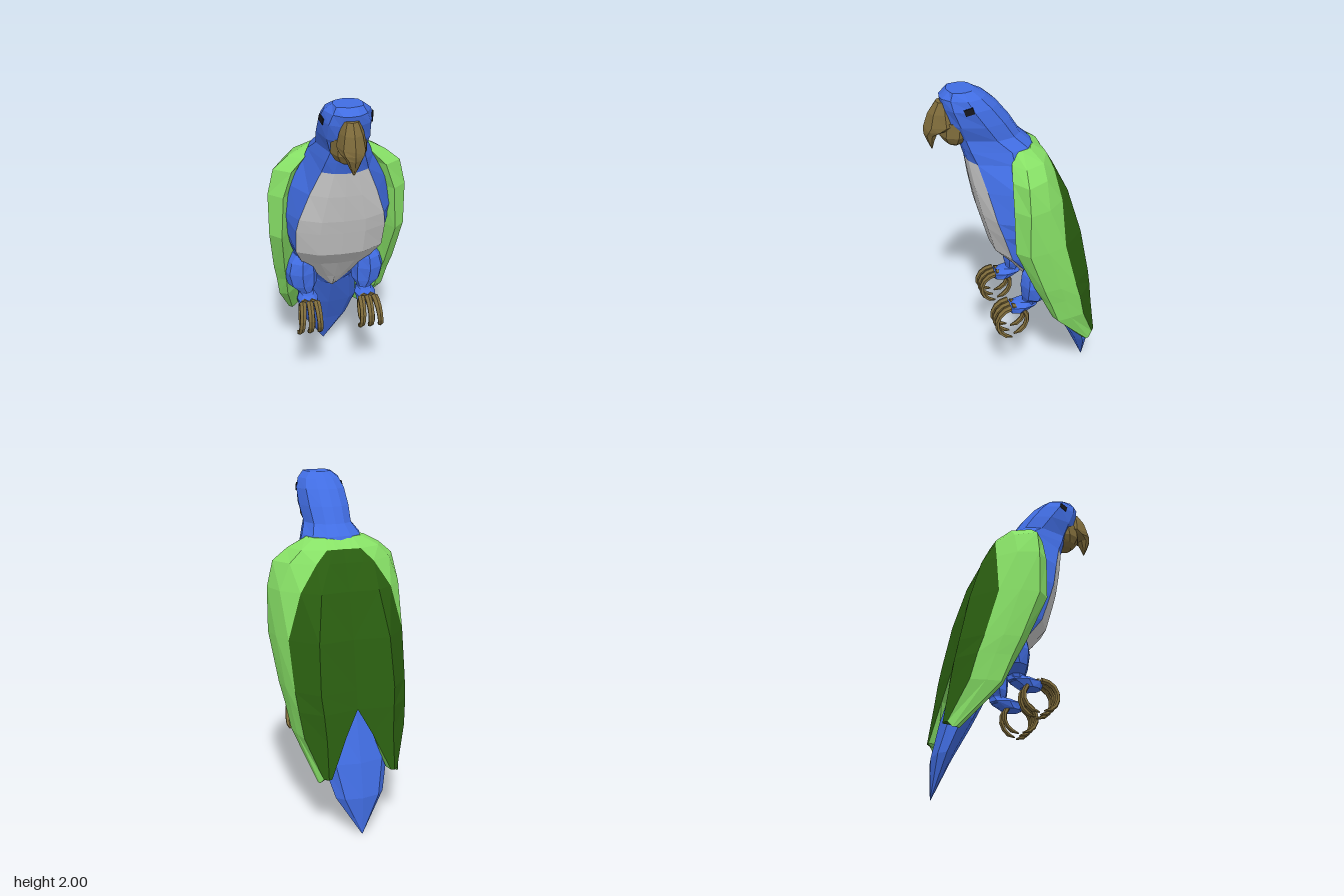
import * as THREE from 'three';

const COLORS = {
  blue: 0x416de2, grey: 0xcccccc, lime: 0x87e066, forest: 0x2a5e10, horn: 0x7d6a3a, dark: 0x16161c,
};
const materials = {};
for (const key in COLORS) {
  materials[key] = new THREE.MeshStandardMaterial({ color: COLORS[key], flatShading: true, side: THREE.DoubleSide });
}

// Skin a list of closed rings; pick(row, column) chooses the material of each quad.
function loft(name, rings, pick) {
  const group = new THREE.Group();
  group.name = name;
  const faces = {};
  const add = (key, ...pts) => {
    const list = (faces[key] ??= []);
    pts.forEach((p) => list.push(p.x, p.y, p.z));
  };
  const n = rings[0].length;
  for (let i = 0; i < rings.length - 1; i++) {
    for (let j = 0; j < n; j++) {
      const k = (j + 1) % n;
      const [a, b, c, d] = [rings[i][j], rings[i][k], rings[i + 1][k], rings[i + 1][j]];
      add(pick(i, j), a, d, c, a, c, b);
    }
  }
  [0, rings.length - 1].forEach((i) => {
    const ring = rings[i];
    const mid = ring.reduce((s, p) => s.add(p), new THREE.Vector3()).divideScalar(n);
    for (let j = 0; j < n; j++) {
      const next = ring[(j + 1) % n];
      if (i === 0) add(pick(0, j), mid, ring[j], next);
      else add(pick(i - 1, j), mid, next, ring[j]);
    }
  });
  for (const key in faces) {
    const geo = new THREE.BufferGeometry();
    geo.setAttribute('position', new THREE.Float32BufferAttribute(faces[key], 3));
    geo.computeVertexNormals();
    const mesh = new THREE.Mesh(geo, materials[key]);
    mesh.name = `${name}_${key}`;
    group.add(mesh);
  }
  return group;
}

// Oval horizontal ring: height, back z, front z, half width, centre x
function oval([y, zb, zf, w, cx = 0], sides = 8) {
  return Array.from({ length: sides }, (_, i) => {
    const a = (i / sides) * Math.PI * 2;
    return new THREE.Vector3(cx + w * Math.sin(a), y, (zf + zb) / 2 + ((zf - zb) / 2) * Math.cos(a));
  });
}
const ovalLoft = (name, color, rows) => loft(name, rows.map((r) => oval(r)), () => color);

// Head and torso, with a pale breast on the front columns
function makeBody() {
  // y, front z, breast edge x, breast edge z, half width, side z, back z
  const rows = [
    [2.0, 0.36, 0.07, 0.34, 0.08, 0.28, 0.21],
    [1.965, 0.40, 0.09, 0.355, 0.125, 0.27, 0.15],
    [1.91, 0.39, 0.11, 0.345, 0.145, 0.24, 0.09],
    [1.82, 0.37, 0.115, 0.31, 0.148, 0.18, 0.02],
    [1.73, 0.31, 0.09, 0.28, 0.14, 0.12, -0.035],
    [1.67, 0.295, 0.11, 0.26, 0.175, 0.05, -0.10],
    [1.60, 0.275, 0.13, 0.23, 0.20, 0.04, -0.13],
    [1.45, 0.25, 0.19, 0.19, 0.28, 0.03, -0.19],
    [1.28, 0.215, 0.245, 0.15, 0.325, 0.0, -0.24],
    [1.19, 0.19, 0.26, 0.12, 0.315, -0.02, -0.27],
    [1.03, 0.145, 0.255, 0.07, 0.275, -0.06, -0.30],
    [0.91, 0.04, 0.21, -0.02, 0.235, -0.10, -0.31],
    [0.75, -0.07, 0.09, -0.10, 0.17, -0.18, -0.32],
    [0.65, -0.135, 0.015, -0.15, 0.12, -0.22, -0.32],
  ];
  const rings = rows.map(([y, zf, bx, bz, w, zm, zb]) => {
    const half = [
      [0, zf], [bx * 0.5, zf - 0.008], [bx, bz], [w, zm],
      [w * 0.8, zm * 0.35 + zb * 0.65], [w * 0.4, zb + 0.01], [0, zb],
    ];
    const mirrored = half.slice(1, -1).reverse().map(([x, z]) => [-x, z]);
    return [...half, ...mirrored].map(([x, z]) => new THREE.Vector3(x, y, z));
  });
  return loft('body', rings, (i, j) => (i >= 6 && (j < 2 || j > 9) ? 'grey' : 'blue'));
}

// Folded wing with a dark panel over the back
function makeWing() {
  // y, then x,z pairs: front edge, outer front, outer side, panel edge, mid back, spine edge
  const rows = [
    [1.665, 0.15, 0.03, 0.175, -0.01, 0.14, -0.06, 0.08, -0.085, 0.04, -0.09, 0.0, -0.09],
    [1.61, 0.20, 0.06, 0.28, 0.0, 0.23, -0.11, 0.10, -0.165, 0.05, -0.165, 0.0, -0.16],
    [1.54, 0.27, 0.075, 0.365, 0.01, 0.30, -0.11, 0.17, -0.19, 0.10, -0.205, 0.0, -0.20],
    [1.39, 0.32, 0.08, 0.40, 0.01, 0.36, -0.11, 0.27, -0.21, 0.17, -0.275, 0.0, -0.26],
    [1.13, 0.335, 0.075, 0.40, 0.01, 0.385, -0.10, 0.345, -0.215, 0.21, -0.35, 0.0, -0.325],
    [0.85, 0.31, -0.045, 0.37, -0.09, 0.36, -0.19, 0.335, -0.29, 0.22, -0.405, 0.0, -0.375],
    [0.74, 0.295, -0.10, 0.35, -0.135, 0.342, -0.23, 0.325, -0.325, 0.21, -0.425, 0.0, -0.395],
    [0.59, 0.28, -0.17, 0.33, -0.19, 0.322, -0.275, 0.305, -0.36, 0.20, -0.445, 0.08, -0.425],
    [0.37, 0.225, -0.39, 0.245, -0.41, 0.24, -0.43, 0.225, -0.455, 0.20, -0.475, 0.18, -0.47],
  ];
  const rings = rows.map(([y, ...p]) => {
    const ring = [0, 2, 4, 6, 8, 10].map((k) => new THREE.Vector3(p[k], y, p[k + 1]));
    // inner face, tucked against the torso
    ring.push(new THREE.Vector3(p[0] * 0.75, y, p[1] * 0.7 + p[9] * 0.3));
    return ring;
  });
  // slanted tip
  rings.at(-1).slice(0, 3).forEach((p) => { p.y -= 0.032; });
  return loft('wing', rings, (i, j) => (i >= 1 && (j === 3 || j === 4) ? 'forest' : 'lime'));
}

// Tapered toe curling forward (dir 1) or backward (dir -1) round a perch, drifting sideways by splay
function makeToe(x, dir, splay) {
  const rings = [];
  for (let i = 0; i <= 7; i++) {
    const t = i / 7;
    const a = dir * (0.05 + t * 3);
    const r = i === 7 ? 0.006 : 0.023 - 0.007 * t;
    const ring = [];
    for (let k = 0; k < 6; k++) {
      const b = (k / 6) * Math.PI * 2;
      const rad = 0.096 + r * Math.cos(b) * 0.75;
      ring.push(new THREE.Vector3(
        x + splay * t + dir * r * Math.sin(b), 0.57 + rad * Math.cos(a), 0.066 + rad * Math.sin(a)));
    }
    rings.push(ring);
  }
  return loft(dir > 0 ? 'frontToe' : 'backToe', rings, () => 'horn');
}

function makeLeg() {
  const leg = new THREE.Group();
  leg.name = 'leg';
  leg.add(ovalLoft('thigh', 'blue', [
    [0.935, -0.2, -0.03, 0.06, 0.195],
    [0.89, -0.22, 0.0, 0.09, 0.205],
    [0.82, -0.21, 0.01, 0.105, 0.21],
    [0.73, -0.15, 0.0, 0.09, 0.2],
    [0.69, -0.11, -0.01, 0.05, 0.185],
    [0.65, -0.10, 0.0, 0.045, 0.18],
  ]));
  leg.add(ovalLoft('foot', 'blue', [
    [0.685, -0.115, 0.03, 0.045, 0.18],
    [0.66, -0.115, 0.1, 0.065, 0.18],
    [0.62, -0.04, 0.08, 0.055, 0.18],
  ]));
  [[0.138, -0.012], [0.18, 0.01], [0.222, 0.035]].forEach(([x, splay]) => leg.add(makeToe(x, 1, splay)));
  [[0.16, -0.01], [0.205, 0.025]].forEach(([x, splay]) => leg.add(makeToe(x, -1, splay)));
  return leg;
}

function makeEye() {
  const eye = new THREE.Mesh(new THREE.BoxGeometry(0.014, 0.035, 0.05), materials.dark);
  eye.name = 'eye';
  eye.position.set(0.131, 1.915, 0.267);
  eye.rotation.set(0.35, -0.27, 0.12);
  return eye;
}

export function createModel() {
  const bird = new THREE.Group();
  bird.name = 'bird';
  bird.add(makeBody());
  bird.add(ovalLoft('tail', 'blue', [
    [0.85, -0.33, -0.13, 0.12],
    [0.66, -0.385, -0.16, 0.17],
    [0.43, -0.45, -0.27, 0.2],
    [0.23, -0.49, -0.375, 0.145],
    [0.0, -0.484, -0.48, 0.003],
  ]));

  // Hooked upper beak and blunt lower beak
  bird.add(ovalLoft('upperBeak', 'horn', [
    [1.94, 0.34, 0.42, 0.04],
    [1.88, 0.30, 0.465, 0.065],
    [1.81, 0.27, 0.49, 0.08],
    [1.785, 0.34, 0.493, 0.07],
    [1.76, 0.415, 0.49, 0.045],
    [1.72, 0.432, 0.475, 0.028],
    [1.67, 0.447, 0.453, 0.003],
  ]));
  bird.add(ovalLoft('lowerBeak', 'horn', [
    [1.83, 0.22, 0.40, 0.095],
    [1.75, 0.23, 0.41, 0.098],
    [1.71, 0.27, 0.385, 0.075],
    [1.69, 0.29, 0.36, 0.045],
  ]));

  // Paired parts, mirrored across the middle
  for (const side of [1, -1]) {
    const half = new THREE.Group();
    half.name = side > 0 ? 'leftSide' : 'rightSide';
    half.add(makeWing(), makeLeg(), makeEye());
    half.scale.x = side;
    bird.add(half);
  }
  return bird;
}
